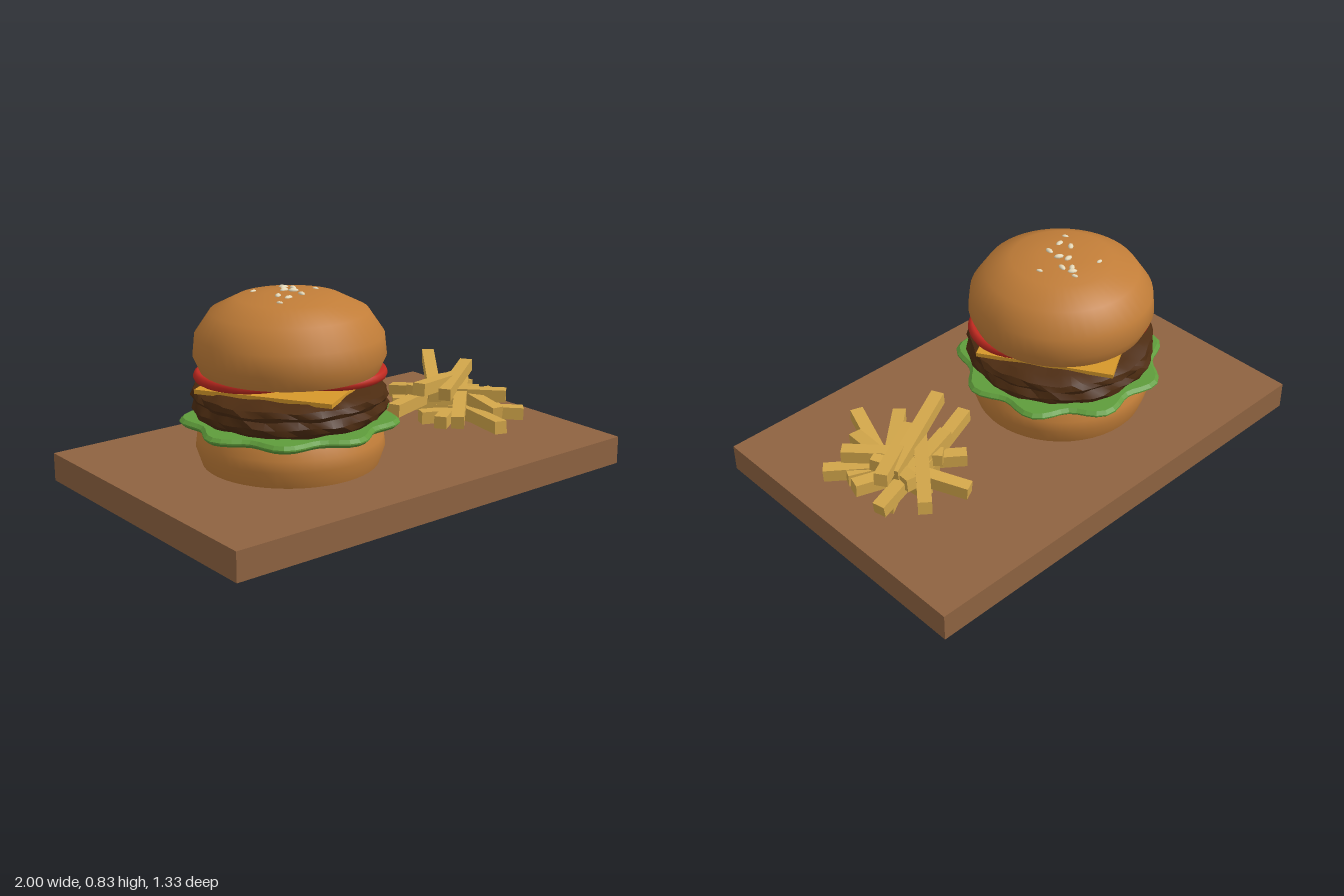
import * as THREE from 'three';
import { toCreasedNormals } from 'three/addons/utils/BufferGeometryUtils.js';

const paint = (name, color) => {
  const m = new THREE.MeshStandardMaterial({ color });
  m.name = name;
  return m;
};

export function createModel() {
  const wood = paint('wood', 0x8f6341);
  const bread = paint('bread', 0xc17d38);
  const meat = paint('meat', 0x4d2c11);
  const cheddar = paint('cheddar', 0xd6982a);
  const red = paint('tomatoRed', 0xc22a20);
  const green = paint('leafGreen', 0x5f9c3b);
  const potato = paint('potato', 0xd2a64a);
  const cream = paint('cream', 0xe4d8b8);

  const model = new THREE.Group();
  const burger = new THREE.Group();
  burger.name = 'burger';
  burger.position.x = -0.265;
  model.add(burger);

  const add = (parent, name, geometry, material, x = 0, y = 0, z = 0) => {
    const mesh = new THREE.Mesh(geometry, material);
    mesh.name = name;
    mesh.position.set(x, y, z);
    parent.add(mesh);
    return mesh;
  };
  // Profiles are [radius, height] pairs from the bottom up
  const turned = (profile, sides = 48) =>
    new THREE.LatheGeometry(profile.map(([r, y]) => new THREE.Vector2(r, y)), sides);

  add(model, 'board', new THREE.BoxGeometry(2, 0.12, 1.33), wood, 0, 0.06, 0);

  // Buns
  add(burger, 'bottomBun', toCreasedNormals(turned([
    [0, 0.12], [0.365, 0.12], [0.388, 0.19], [0.382, 0.235], [0.355, 0.285], [0, 0.285],
  ]), 0.9), bread);
  add(burger, 'topBun', toCreasedNormals(turned([
    [0, 0.51], [0.365, 0.51], [0.392, 0.57], [0.383, 0.655], [0.32, 0.748],
    [0.213, 0.802], [0.1, 0.816], [0, 0.82],
  ]), 0.9), bread);

  // Lettuce leaf with nine lobes
  const outline = [];
  const steps = 9 * 8;
  for (let i = 0; i < steps; i++) {
    const a = (i / steps) * Math.PI * 2;
    const r = 0.412 + 0.026 * Math.cos(9 * (a + Math.PI / 2));
    outline.push(new THREE.Vector2(r * Math.cos(a), r * Math.sin(a)));
  }
  const leaf = new THREE.ExtrudeGeometry(new THREE.Shape(outline), {
    depth: 0.006, bevelEnabled: true, bevelSize: 0.014, bevelThickness: 0.013, bevelSegments: 1,
  });
  leaf.rotateX(-Math.PI / 2);
  add(burger, 'lettuce', leaf, green, 0, 0.298, 0);

  // Patty with a rough rim
  const patty = turned([
    [0, 0.318], [0.355, 0.318], [0.388, 0.34], [0.398, 0.365], [0.384, 0.392],
    [0.398, 0.41], [0.39, 0.432], [0.345, 0.45], [0, 0.45],
  ], 56);
  const pos = patty.attributes.position;
  for (let i = 0; i < pos.count; i++) {
    const x = pos.getX(i), y = pos.getY(i), z = pos.getZ(i);
    if (Math.hypot(x, z) < 0.1) continue;
    const a = Math.atan2(x, z);
    const k = 1 + 0.012 * Math.sin(7 * a + 40 * y) + 0.012 * Math.sin(17 * a - 90 * y);
    pos.setXYZ(i, x * k, y + 0.003 * Math.sin(11 * a + 70 * y), z * k);
  }
  add(burger, 'patty', toCreasedNormals(patty, 0.5), meat);

  // Cheese slice, turned so its corners peek out
  const cheese = add(burger, 'cheese', new THREE.BoxGeometry(0.58, 0.018, 0.58), cheddar, 0, 0.455, 0);
  cheese.rotation.y = Math.PI / 4 - 0.245;

  // Tomato slices
  const slice = turned([
    [0, 0.464], [0.212, 0.464], [0.225, 0.472], [0.231, 0.487],
    [0.225, 0.502], [0.212, 0.51], [0, 0.51],
  ], 40);
  add(burger, 'tomatoLeft', slice, red, 0.14, 0, 0.09);
  add(burger, 'tomatoRight', slice, red, -0.14, 0, -0.08);

  // Sesame seeds: x, z
  const seedShape = new THREE.SphereGeometry(1, 8, 6).scale(0.021, 0.01, 0.012);
  [[-0.08, -0.135], [0.07, -0.14], [0.04, -0.095], [0.055, -0.112], [0.068, -0.066],
    [0.005, -0.04], [0.145, -0.015], [-0.07, 0.02], [0.025, -0.005], [0.02, 0.055],
    [-0.055, 0.07], [-0.12, 0.1]].forEach(([x, z], i) => {
    const far = Math.hypot(x, z);
    const seed = add(burger, 'seed', seedShape, cream, x, 0.823 - 0.09 * far, z);
    seed.rotation.y = i * 1.9;
    if (far > 0.13) seed.scale.setScalar(0.7);
  });

  // Fries, each laid between two end points
  const fries = new THREE.Group();
  fries.name = 'fries';
  model.add(fries);
  [
    [0.80, 0.31, -0.34, 0.50, 0.25, 0.04],
    [0.53, 0.20, -0.29, 0.72, 0.24, 0.08],
    [0.25, 0.235, 0.05, 0.68, 0.22, -0.11],
    [0.40, 0.20, -0.13, 0.70, 0.20, 0.10],
    [0.86, 0.20, -0.13, 0.42, 0.27, -0.03],
    [0.85, 0.20, 0.04, 0.50, 0.18, -0.06],
    [0.85, 0.155, 0.24, 0.52, 0.17, -0.04],
    [0.42, 0.20, 0.27, 0.75, 0.25, -0.05],
    [0.54, 0.19, 0.41, 0.68, 0.155, 0.00],
    [0.33, 0.33, 0.12, 0.74, 0.27, -0.07],
    [0.65, 0.20, 0.28, 0.70, 0.25, -0.15],
    [0.82, 0.31, -0.10, 0.50, 0.27, 0.10],
    [0.80, 0.155, 0.15, 0.45, 0.155, 0.00],
    [0.62, 0.155, -0.14, 0.66, 0.155, 0.20],
    [0.46, 0.155, 0.12, 0.80, 0.155, -0.10],
    [0.50, 0.24, -0.10, 0.78, 0.24, 0.20],
  ].forEach(([x1, y1, z1, x2, y2, z2]) => {
    const a = new THREE.Vector3(x1, y1, z1), b = new THREE.Vector3(x2, y2, z2);
    const fry = add(fries, 'fry', new THREE.BoxGeometry(0.055, 0.055, a.distanceTo(b)), potato);
    fry.position.copy(a).lerp(b, 0.5);
    fry.lookAt(b);
  });

  return model;
}
